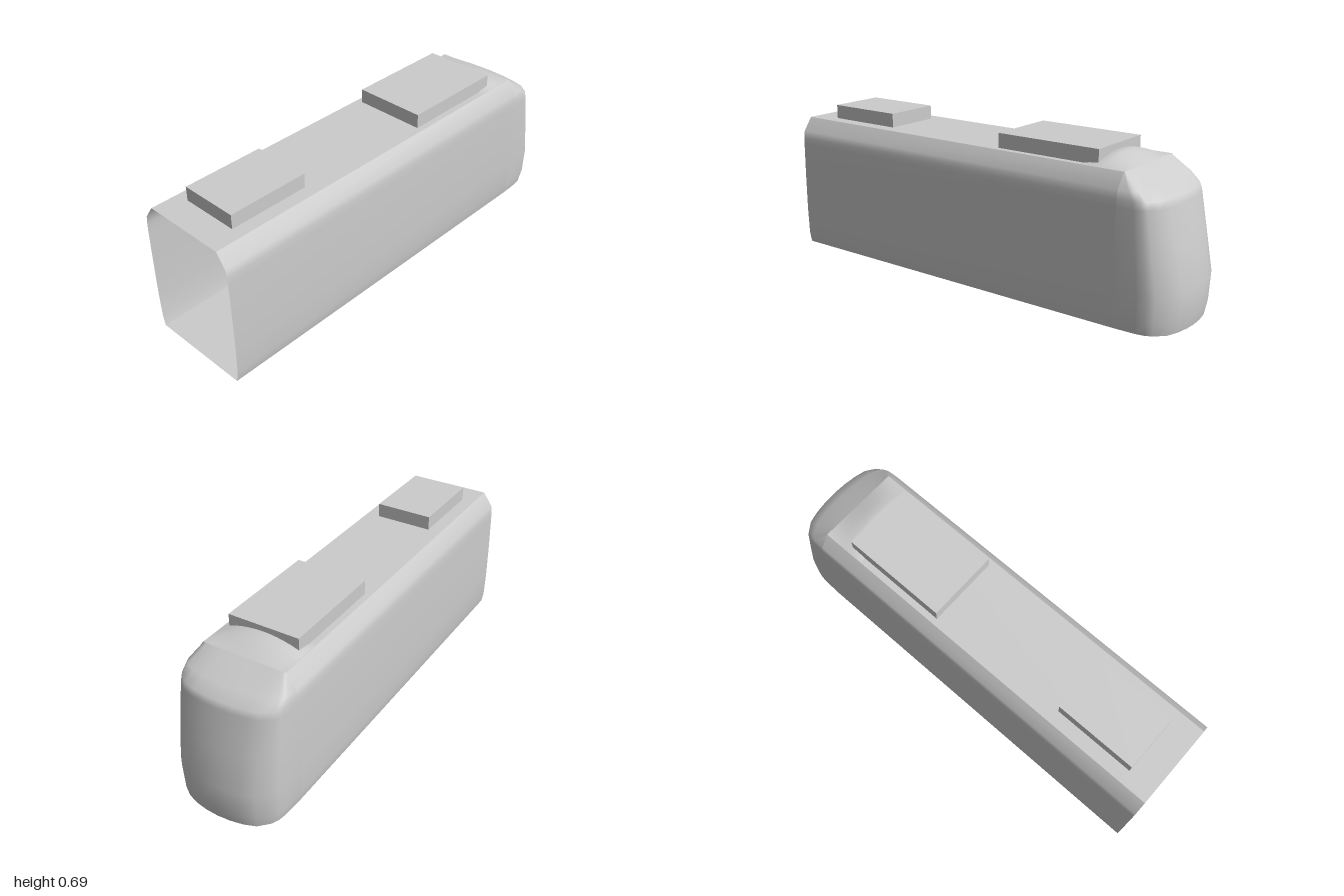
import * as THREE from 'three';

// Wall levels from floor to roof: [height, half width, nose tip z]
const LEVELS = [
  [0, 0.23, -0.985], [0.05, 0.24, -0.994], [0.17, 0.244, -1], [0.34, 0.244, -0.963],
  [0.5, 0.242, -0.928], [0.53, 0.24, -0.918], [0.565, 0.236, -0.865], [0.627, 0.192, -0.75],
];
const JOIN = -0.75, ROOF = 0.627;
// Nose outline in plan: [fraction of half width, fraction of nose depth]
const HALF = [[1, 0], [0.985, 0.4], [0.955, 0.56], [0.9, 0.68], [0.72, 0.86], [0.5, 0.94], [0.25, 0.985]];
const PLAN = [...HALF, [0, 1], ...HALF.map(([x, d]) => [-x, d]).reverse()];

// Smooth sheet through rows of [x, y, z] points
function sheet(rows) {
  const n = rows[0].length, index = [];
  for (let i = 0; i < rows.length - 1; i++) {
    for (let j = 0; j < n - 1; j++) {
      const a = i * n + j, b = a + 1, c = b + n, d = a + n;
      index.push(a, b, c, a, c, d);
    }
  }
  const geo = new THREE.BufferGeometry();
  geo.setAttribute('position', new THREE.Float32BufferAttribute(rows.flat(2), 3));
  geo.setIndex(index);
  geo.computeVertexNormals();
  return geo;
}

export function createModel() {
  const model = new THREE.Group();
  model.name = 'railCar';
  const grey = new THREE.MeshStandardMaterial({ color: 0xcccccc, side: THREE.DoubleSide });
  grey.name = 'plain grey';
  const add = (name, geo) => {
    const mesh = new THREE.Mesh(geo, grey);
    mesh.name = name;
    model.add(mesh);
    return mesh;
  };

  // Side walls, open at the +z end
  add('leftWall', sheet(LEVELS.map(([y, w]) => [[w, y, 1], [w, y, JOIN]])));
  add('rightWall', sheet(LEVELS.map(([y, w]) => [[-w, y, JOIN], [-w, y, 1]])));

  // Roof panel
  add('roof', sheet([[[-0.192, ROOF, 1], [0.192, ROOF, 1]], [[-0.192, ROOF, JOIN], [0.192, ROOF, JOIN]]]));

  // Rounded, sloping nose
  add('nose', sheet(LEVELS.map(([y, w, tip]) =>
    PLAN.map(([x, d]) => [x * w, y, JOIN + d * (tip - JOIN)]))));

  // Flat floor following the nose outline
  const [, w0, tip0] = LEVELS[0];
  const floor = new THREE.Shape([
    new THREE.Vector2(-w0, -1),
    new THREE.Vector2(w0, -1),
    ...PLAN.map(([x, d]) => new THREE.Vector2(x * w0, -JOIN - d * (tip0 - JOIN))),
  ]);
  add('floor', new THREE.ShapeGeometry(floor).rotateX(-Math.PI / 2));

  // Shallow fairing rising from the nose to the front roof unit
  const rise = [[-0.55, 0], [-0.58, 0.022], [-0.62, 0.039], [-0.65, 0.036], [-0.69, 0.025], [JOIN, 0]];
  add('roofFairing', sheet(rise.map(([z, h]) => {
    const row = [];
    for (let k = -6; k <= 6; k++) {
      const t = k / 6;
      row.push([t * 0.19, ROOF + 0.0005 + h * (1 - t * t), z]);
    }
    return row;
  })));

  // Roof units: [name, width, z start, z end]
  for (const [name, width, z0, z1] of [
    ['largeRoofUnit', 0.328, -0.62, -0.13],
    ['smallRoofUnit', 0.264, 0.507, 0.875],
  ]) {
    add(name, new THREE.BoxGeometry(width, 0.064, z1 - z0)).position.set(0, ROOF + 0.032, (z0 + z1) / 2);
  }
  return model;
}
